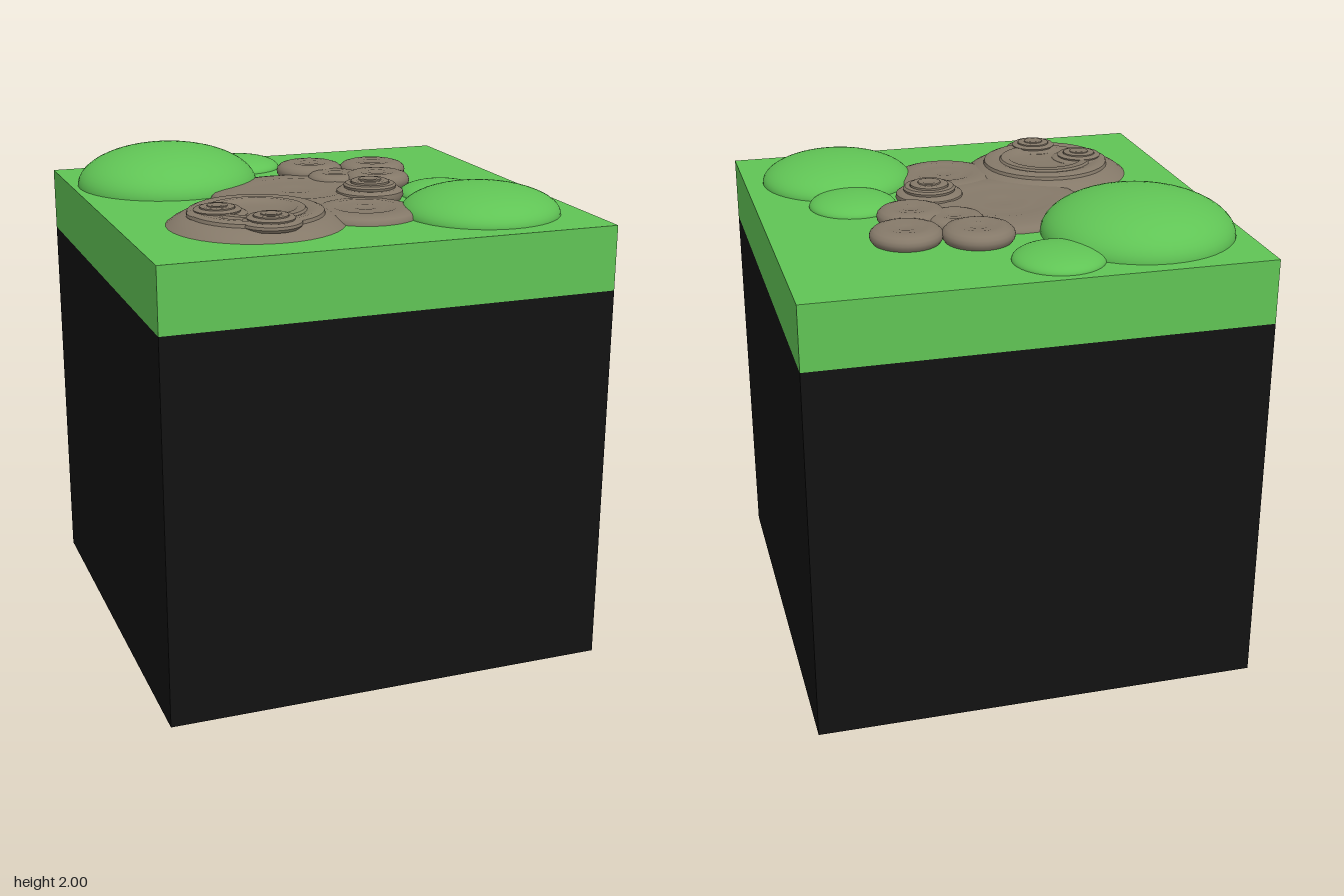
import * as THREE from 'three';
import { toCreasedNormals } from 'three/addons/utils/BufferGeometryUtils.js';

const BASE = 1.57, TOP = 1.83, SIDE = 1.83;

export function createModel() {
  const model = new THREE.Group();
  const soil = new THREE.MeshStandardMaterial({ color: 0x111111 });
  const grass = new THREE.MeshStandardMaterial({ color: 0x60c455 });
  const mud = new THREE.MeshStandardMaterial({ color: 0x857969 });

  function add(name, geometry, material, x, y, z) {
    const mesh = new THREE.Mesh(geometry, material);
    mesh.name = name;
    mesh.position.set(x, y, z);
    model.add(mesh);
    return mesh;
  }

  // Square block with a grass layer
  add('soilBlock', new THREE.BoxGeometry(SIDE, BASE, SIDE), soil, 0, BASE / 2, 0);
  add('grassLayer', new THREE.BoxGeometry(SIDE, TOP - BASE, SIDE), grass, 0, (BASE + TOP) / 2, 0);

  // Grassy hills: flattened half spheres [x, z, radius, height]
  const hills = [
    [-0.505, -0.47, 0.385, 0.17],
    [0.52, 0.515, 0.32, 0.115],
    [-0.11, -0.70, 0.18, 0.055],
    [0.52, 0.14, 0.18, 0.057],
  ];
  for (const [x, z, r, h] of hills) {
    const dome = new THREE.SphereGeometry(1, 48, 16, 0, Math.PI * 2, 0, Math.PI / 2);
    add('grassHill', dome.scale(r, h, r), grass, x, TOP, z);
  }

  // Mud profiles, from rim to centre: [fraction of radius, fraction of height]
  const profiles = {
    // low pool with a shallow dip
    pool: [[1, 0], [0.99, 0.35], [0.95, 0.65], [0.85, 0.85], [0.6, 1], [0.56, 0.93], [0.35, 0.85],
      [0.22, 0.9], [0.16, 0.82], [0, 0.84]],
    // sloping mound with a raised ring round a crater
    crater: [[1, 0], [0.93, 0.28], [0.85, 0.5], [0.77, 0.62], [0.76, 0.82], [0.7, 0.95], [0.62, 0.92],
      [0.57, 0.85], [0.55, 0.98], [0.46, 1], [0.42, 0.86], [0.25, 0.78], [0, 0.8]],
    // rounded bubble with a dimpled top
    bubble: [[0.92, 0], [0.98, 0.2], [1, 0.42], [0.97, 0.65], [0.88, 0.85], [0.72, 0.97], [0.55, 1],
      [0.42, 0.94], [0.3, 0.97], [0.18, 0.9], [0, 0.93]],
    // stacked rings
    stack: [[0.93, 0], [1, 0.22], [0.98, 0.42], [0.86, 0.56], [0.76, 0.56], [0.78, 0.68], [0.72, 0.78],
      [0.58, 0.8], [0.56, 0.76], [0.56, 0.88], [0.48, 0.94], [0.34, 0.92], [0.33, 0.98], [0.24, 1],
      [0.16, 0.96], [0, 0.97]],
  };

  // Mud shapes [name, profile, x, z, radius, height, base height above grass]
  const mounds = [
    ['mudPool', 'pool', -0.07, -0.03, 0.355, 0.03, 0],
    ['mudCrater', 'crater', -0.385, 0.405, 0.35, 0.066, 0],
    ['mudPuddle', 'pool', 0.07, 0.405, 0.215, 0.034, 0],
    ['mudStack', 'stack', -0.54, 0.405, 0.12, 0.055, 0.03],
    ['mudStack', 'stack', -0.39, 0.61, 0.12, 0.055, 0.03],
    ['mudStack', 'stack', 0.2, 0.125, 0.14, 0.085, 0],
    ['mudBubble', 'bubble', 0.125, -0.405, 0.145, 0.062, 0],
    ['mudBubble', 'bubble', 0.4, -0.35, 0.145, 0.06, 0],
    ['mudBubble', 'bubble', 0.175, -0.21, 0.12, 0.05, 0],
    ['mudBubble', 'bubble', 0.33, -0.12, 0.14, 0.06, 0],
  ];
  for (const [name, kind, x, z, r, h, lift] of mounds) {
    const points = profiles[kind].map(([u, v]) => new THREE.Vector2(u * r, v * h));
    const geometry = toCreasedNormals(new THREE.LatheGeometry(points, 40), 0.7);
    add(name, geometry, mud, x, TOP + lift, z);
  }

  return model;
}
